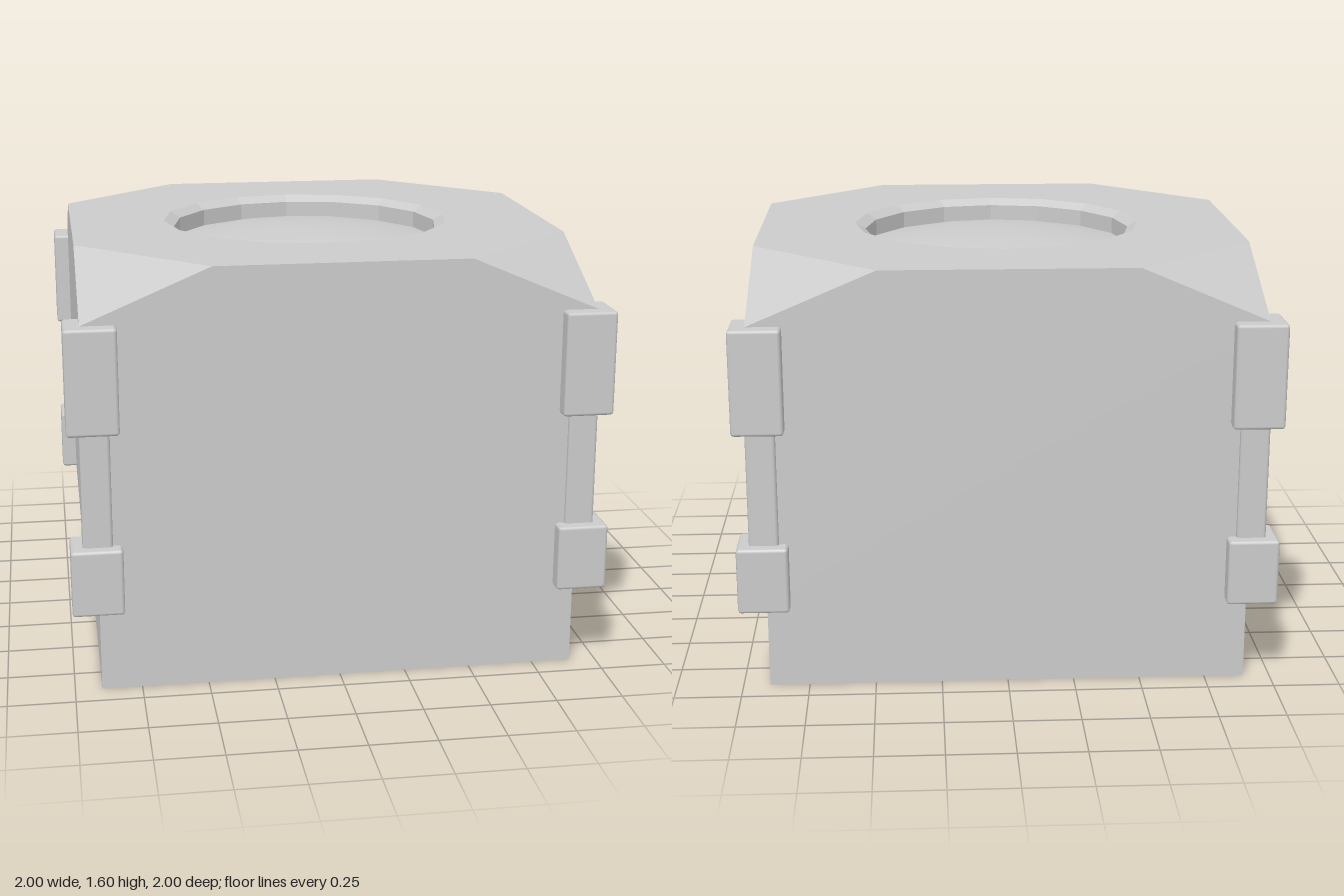
import * as THREE from 'three';
import { RoundedBoxGeometry } from 'three/addons/geometries/RoundedBoxGeometry.js';

const HALF = 0.94, CUT = 0.47;            // body half width, where the corner cuts start
const LOW = 0.33, SHOULDER = 1.4, TOP = 1.6;
const RIM = 0.57, WELL = 0.53, SIDES = 16;

const flat = new THREE.MeshStandardMaterial({ color: 0xcccccc, flatShading: true });
const smooth = new THREE.MeshStandardMaterial({ color: 0xcccccc });

function add(parent, name, geometry, material = flat) {
  const mesh = new THREE.Mesh(geometry, material);
  mesh.name = name;
  parent.add(mesh);
  return mesh;
}

const polygon = (pts) => new THREE.Shape(pts.map(([x, y]) => new THREE.Vector2(x, y)));
const lathe = (pts) => new THREE.LatheGeometry(pts.map(([r, y]) => new THREE.Vector2(r, y)), SIDES);

export function createModel() {
  const model = new THREE.Group();
  model.name = 'corneredBox';

  // Plinth under the body
  add(model, 'base', new THREE.BoxGeometry(1.8, LOW, 1.8).translate(0, LOW / 2, 0));

  // Body shell: four walls and four sloping corner cuts
  const body = new THREE.Group();
  body.name = 'body';
  model.add(body);
  const wall = new THREE.ShapeGeometry(polygon([
    [-HALF, LOW], [HALF, LOW], [HALF, SHOULDER], [CUT, TOP], [-CUT, TOP], [-HALF, SHOULDER],
  ])).translate(0, 0, HALF);
  const cut = new THREE.BufferGeometry().setFromPoints([
    new THREE.Vector3(HALF, SHOULDER, HALF),
    new THREE.Vector3(HALF, TOP, CUT),
    new THREE.Vector3(CUT, TOP, HALF),
  ]);
  cut.computeVertexNormals();
  for (let i = 0; i < 4; i++) {
    add(body, 'wall', wall).rotation.y = i * Math.PI / 2;
    add(body, 'cornerCut', cut).rotation.y = i * Math.PI / 2;
  }
  add(body, 'underside', new THREE.PlaneGeometry(HALF * 2, HALF * 2).rotateX(Math.PI / 2).translate(0, LOW, 0));

  // Octagonal top with a sixteen-sided opening
  const top = polygon([
    [CUT, -HALF], [HALF, -CUT], [HALF, CUT], [CUT, HALF],
    [-CUT, HALF], [-HALF, CUT], [-HALF, -CUT], [-CUT, -HALF],
  ]);
  const ring = Array.from({ length: SIDES }, (_, i) => {
    const a = -i / SIDES * Math.PI * 2;
    return [RIM * Math.cos(a), RIM * Math.sin(a)];
  });
  top.holes.push(polygon(ring));
  add(body, 'top', new THREE.ShapeGeometry(top).rotateX(-Math.PI / 2).translate(0, TOP, 0));

  // Bevelled well and the shallow dome sitting in it
  add(model, 'wellWall', lathe([[RIM, TOP], [WELL, 1.575], [WELL, 1.51]]));
  const dome = [];
  for (let i = 0; i <= 6; i++) {
    const t = 1 - i / 6;
    dome.push([WELL * t, 1.51 + 0.06 * (1 - t * t)]);
  }
  add(model, 'dome', lathe(dome), smooth);

  // Corner fittings: a lower block, a slim post and an upper block
  const pieces = [
    ['lowerBlock', 0.19, 0.33, 0.58, 0.905],
    ['post', 0.11, 0.56, 1.03, 0.9],
    ['upperBlock', 0.19, 1.01, 1.4, 0.905],
  ];
  for (const sx of [-1, 1]) for (const sz of [-1, 1]) {
    const corner = new THREE.Group();
    corner.name = 'cornerFitting';
    for (const [name, width, y0, y1, offset] of pieces) {
      const geometry = new RoundedBoxGeometry(width, y1 - y0, width, 1, 0.012);
      add(corner, name, geometry, smooth).position.set(sx * offset, (y0 + y1) / 2, sz * offset);
    }
    model.add(corner);
  }
  return model;
}
